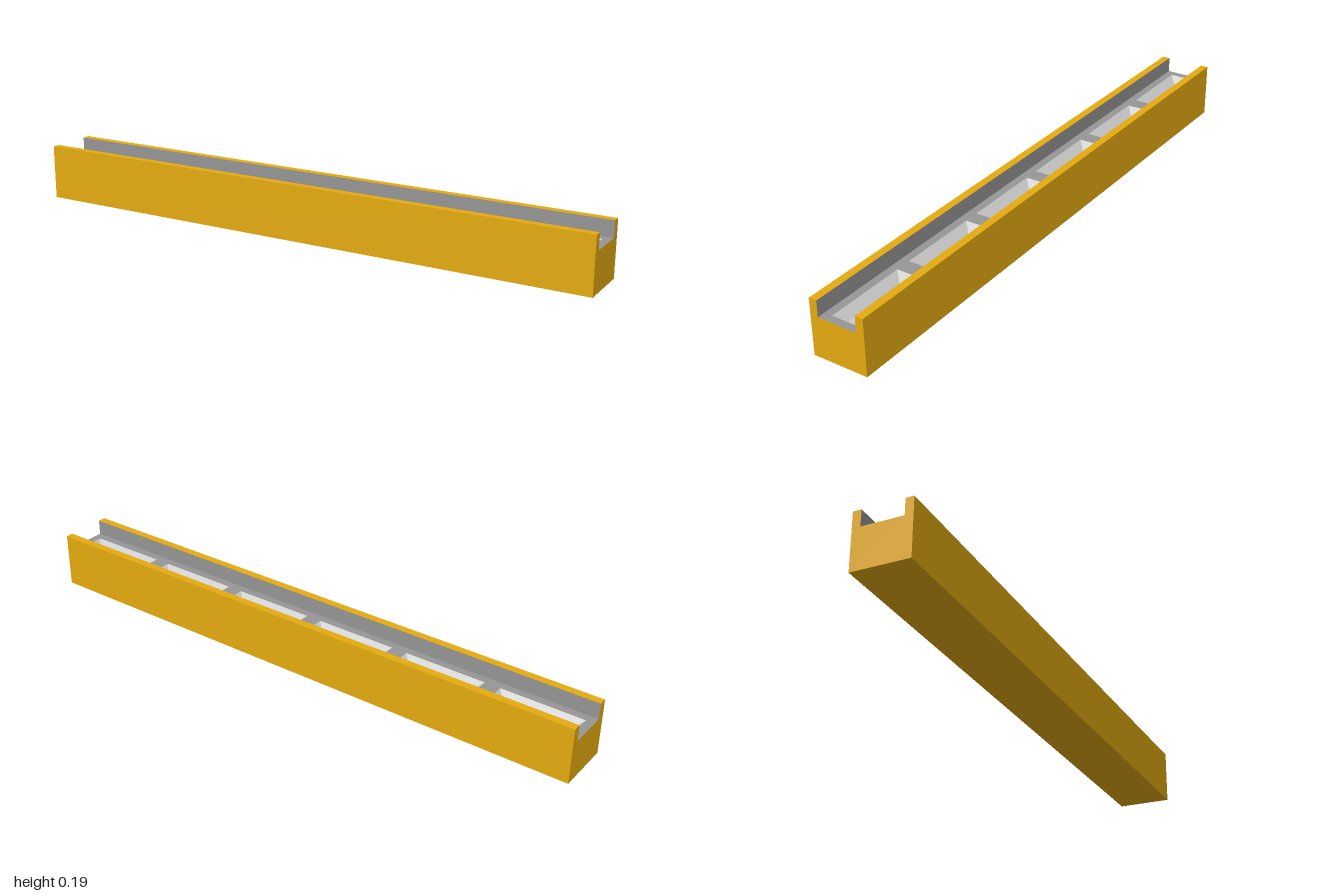
import * as THREE from 'three';
import { mergeGeometries } from 'three/addons/utils/BufferGeometryUtils.js';

const L = 1, H = 0.1875, W = 0.09375;       // half length, height, half width
const FLOOR = 0.134, CW = 0.067;            // channel floor height, half width
const PX = 0.14, PZ = 0.04, INSET = 0.027, DEPTH = 0.027, COUNT = 6;

const paint = (color) => new THREE.MeshStandardMaterial({ color, flatShading: true });

// Flat four-cornered face, corners counter-clockwise seen from outside
function quad(a, b, c, d) {
  const g = new THREE.BufferGeometry();
  g.setAttribute('position', new THREE.Float32BufferAttribute([a, b, c, a, c, d].flat(), 3));
  g.computeVertexNormals();
  return g;
}

// Lengthwise strip along x between two (z, y) profile points
const strip = ([z0, y0], [z1, y1]) =>
  quad([-L, y0, z0], [L, y0, z0], [L, y1, z1], [-L, y1, z1]);

function rectangle(Type, cx, hx, hz) {
  const p = new Type();
  p.moveTo(cx - hx, -hz);
  p.lineTo(cx + hx, -hz);
  p.lineTo(cx + hx, hz);
  p.lineTo(cx - hx, hz);
  p.closePath();
  return p;
}

// Sloping sides and flat bottom of one recess
function pocketGeometry() {
  const ring = (hx, hz, y) => [[-hx, y, hz], [hx, y, hz], [hx, y, -hz], [-hx, y, -hz]];
  const top = ring(PX, PZ, 0), low = ring(PX - INSET, PZ - INSET, -DEPTH);
  const faces = [quad(...low)];
  for (let i = 0; i < 4; i++) {
    const j = (i + 1) % 4;
    faces.push(quad(top[i], top[j], low[j], low[i]));
  }
  return mergeGeometries(faces);
}

export function createModel() {
  const model = new THREE.Group();
  model.name = 'channelBeam';
  const add = (name, geometry, material) => {
    const mesh = new THREE.Mesh(geometry, material);
    mesh.name = name;
    model.add(mesh);
    return mesh;
  };
  const yellow = paint(0xe6ab10), darkGrey = paint(0x969696), grey = paint(0xcccccc);

  // Outer body: bottom, sides, rims and U-shaped ends
  const profile = [[-W, 0], [W, 0], [W, H], [CW, H], [CW, FLOOR], [-CW, FLOOR], [-CW, H], [-W, H]];
  const endShape = new THREE.Shape(profile.map(([z, y]) => new THREE.Vector2(z, y)));
  const ends = [1, -1].map((s) =>
    new THREE.ShapeGeometry(endShape).rotateY(s * Math.PI / 2).translate(s * L, 0, 0)
      .toNonIndexed().deleteAttribute('uv'));
  const side = (i) => strip(profile[i], profile[(i + 1) % 8]);
  add('body', mergeGeometries([...[0, 1, 2, 6, 7].map(side), ...ends]), yellow);

  // Inner channel walls
  add('channelWalls', mergeGeometries([side(3), side(5)]), darkGrey);

  // Channel floor, with openings for the recesses
  const floor = rectangle(THREE.Shape, 0, L, CW);
  const pocket = pocketGeometry();
  for (let i = 0; i < COUNT; i++) {
    const x = (i - (COUNT - 1) / 2) * (2 * L / COUNT);
    floor.holes.push(rectangle(THREE.Path, x, PX, PZ));
    add('recess', pocket, grey).position.set(x, FLOOR, 0);
  }
  add('channelFloor', new THREE.ShapeGeometry(floor).rotateX(-Math.PI / 2).translate(0, FLOOR, 0), darkGrey);
  return model;
}
